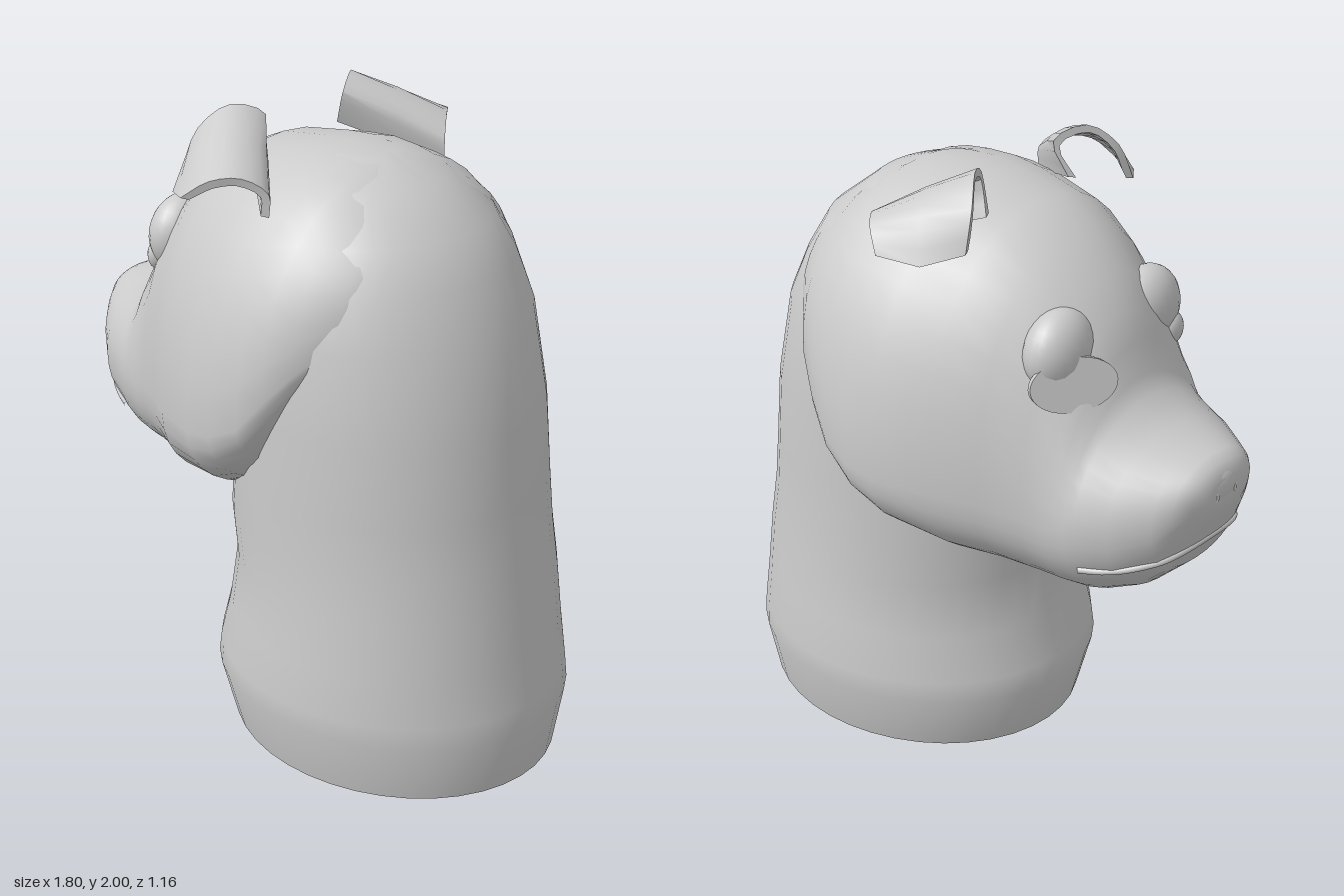
import * as THREE from 'three';
import { toCreasedNormals } from 'three/addons/utils/BufferGeometryUtils.js';

const grey = new THREE.MeshStandardMaterial({ color: 0xcccccc });

// Skin closed rings of points into a solid with flat end caps
function loft(rings, crease = 1) {
  const n = rings[0].length, last = (rings.length - 1) * n, idx = [];
  for (let i = 0; i < rings.length - 1; i++) {
    for (let j = 0; j < n; j++) {
      const a = i * n + j, b = i * n + (j + 1) % n;
      idx.push(a, a + n, b, b, a + n, b + n);
    }
  }
  for (let j = 0; j < n / 2 - 1; j++) {
    const a = j, b = j + 1, c = n - 2 - j, d = n - 1 - j;
    idx.push(a, b, c, a, c, d);
    idx.push(last + a, last + c, last + b, last + a, last + d, last + c);
  }
  const geo = new THREE.BufferGeometry().setFromPoints(rings.flat());
  geo.setIndex(idx);
  return toCreasedNormals(geo, crease);
}

// Rounded unit outline; a higher power gives a squarer first or second half
const power = (v, p) => Math.sign(v) * Math.abs(v) ** (2 / p);
function outline(segments, first, second, place) {
  return Array.from({ length: segments }, (_, i) => {
    const t = (i / segments) * Math.PI * 2;
    const p = i < segments / 2 ? first : second;
    return place(power(Math.cos(t), p), power(Math.sin(t), p));
  });
}

// Head stations: x, chin y, widest y, top y, half width, squareness of the upper half
const HEAD = [
  [-0.895, 1.10, 1.14, 1.18, 0.07, 2.2], [-0.875, 1.04, 1.14, 1.225, 0.14, 2.2],
  [-0.84, 0.96, 1.10, 1.24, 0.19, 2.2], [-0.80, 0.87, 1.06, 1.25, 0.235, 2.2],
  [-0.70, 0.775, 1.04, 1.285, 0.31, 2.1], [-0.60, 0.725, 1.03, 1.345, 0.345, 1.95],
  [-0.57, 0.718, 1.02, 1.40, 0.352, 1.85], [-0.54, 0.715, 1.02, 1.50, 0.358, 1.82],
  [-0.50, 0.715, 1.01, 1.59, 0.365, 1.85], [-0.43, 0.72, 1.03, 1.68, 0.39, 2.1],
  [-0.31, 0.735, 1.05, 1.79, 0.445, 2.2], [-0.18, 0.745, 1.07, 1.85, 0.52, 2.2],
  [0.0, 0.79, 1.08, 1.88, 0.573, 2.2], [0.10, 0.85, 1.10, 1.89, 0.578, 2.2],
  [0.20, 0.95, 1.15, 1.885, 0.56, 2.2], [0.28, 1.08, 1.25, 1.872, 0.53, 2.2],
  [0.36, 1.23, 1.35, 1.83, 0.48, 2.2], [0.45, 1.36, 1.45, 1.76, 0.39, 2.2],
  [0.53, 1.46, 1.53, 1.69, 0.27, 2.2],
];

// Neck levels: y, front x, back x, half width
const NECK = [
  [0.005, -0.23, 0.87, 0.475], [0.2, -0.28, 0.897, 0.522], [0.27, -0.265, 0.885, 0.522],
  [0.42, -0.22, 0.862, 0.505], [0.6, -0.19, 0.84, 0.488], [0.75, -0.215, 0.815, 0.483],
  [0.9, -0.2, 0.795, 0.48], [1.15, -0.2, 0.765, 0.48], [1.43, -0.2, 0.70, 0.465],
  [1.58, -0.15, 0.63, 0.425], [1.70, -0.1, 0.56, 0.365], [1.82, -0.02, 0.41, 0.24],
  [1.88, 0.05, 0.26, 0.1],
];

// Half width of the head's lower surface at a given x and y
function cheek(x, y) {
  const i = Math.max(1, HEAD.findIndex((s) => s[0] >= x));
  const a = HEAD[i - 1], b = HEAD[i], t = (x - a[0]) / (b[0] - a[0]);
  const [, low, mid, , w] = a.map((v, k) => v + (b[k] - v) * t);
  const d = Math.min(1, (mid - y) / (mid - low));
  return w * (1 - d ** 2.2) ** (1 / 2.2);
}

// Folded ear: an arched sheet with a rounded tip, skinned through three arches
const EAR = [
  [[0.15, 1.75, 0.37], [0.15, 1.82, 0.37], [0.10, 1.87, 0.43], [0.04, 1.865, 0.50], [-0.03, 1.81, 0.55]],
  [[0.02, 1.80, 0.27], [0.03, 1.90, 0.265], [-0.025, 1.945, 0.335], [-0.09, 1.905, 0.42], [-0.14, 1.785, 0.485]],
  [[-0.13, 1.85, 0.18], [-0.085, 1.96, 0.16], [-0.14, 2.0, 0.25], [-0.20, 1.93, 0.33], [-0.22, 1.81, 0.38]],
];
function earGeometry(side) {
  const rings = EAR.map((pts) => {
    const outer = new THREE.CatmullRomCurve3(pts.map((p) => new THREE.Vector3(p[0], p[1], p[2] * side))).getPoints(12);
    const centre = outer[0].clone().lerp(outer[12], 0.5);
    const inner = outer.map((p) => p.clone().add(centre.clone().sub(p).setLength(0.025)));
    return [...outer, ...inner.reverse()];
  });
  return loft(side > 0 ? rings : rings.reverse(), 0.8);
}

export function createModel() {
  const group = new THREE.Group();
  const add = (name, geo, x = 0, y = 0, z = 0) => {
    const mesh = new THREE.Mesh(geo, grey);
    mesh.name = name;
    mesh.position.set(x, y, z);
    group.add(mesh);
    return mesh;
  };

  // Neck column rounding over into the back of the skull
  add('neck', loft(NECK.map(([y, x0, x1, w]) => outline(40, 2, 2, (c, s) =>
    new THREE.Vector3((x0 + x1) / 2 + c * (x1 - x0) / 2, y, s * w)))));

  // Skull, cheeks and muzzle in one skin
  add('head', loft(HEAD.map(([x, low, mid, top, w, p]) => outline(40, p, 2.2, (c, s) =>
    new THREE.Vector3(x, mid + s * (s > 0 ? top - mid : mid - low), c * w)))));

  // Ears and brow mounds
  for (const side of [1, -1]) {
    const name = side > 0 ? 'left' : 'right';
    add(name + 'Ear', earGeometry(side));
    add(name + 'Brow', new THREE.SphereGeometry(1, 24, 16).scale(0.09, 0.13, 0.13), -0.42, 1.51, side * 0.2);
  }

  // One small bulging eye and one large flat eye disc
  add('smallEye', new THREE.SphereGeometry(1, 20, 14).scale(0.035, 0.055, 0.05), -0.48, 1.435, 0.25);
  const disc = new THREE.CylinderGeometry(1, 1, 0.02, 32).rotateX(Math.PI / 2).scale(0.135, 0.083, 1);
  const eye = add('discEye', disc, -0.503, 1.44, -0.235);
  eye.rotation.set(-0.2, Math.atan2(-0.86, -0.5), 0, 'YXZ');

  // Nose pad with nostril rims
  add('nose', new THREE.SphereGeometry(1, 24, 16).scale(0.04, 0.065, 0.1), -0.86, 1.15, 0);
  for (const side of [-1, 1]) {
    const rim = add('nostril', new THREE.TorusGeometry(0.022, 0.008, 8, 16), -0.88, 1.13, side * 0.06);
    rim.rotation.y = -Math.PI / 2 + side * 0.5;
  }

  // Lip line wrapping around the muzzle
  const half = [[-0.60, 0.89], [-0.66, 0.897], [-0.72, 0.91], [-0.77, 0.925], [-0.81, 0.94]]
    .map(([x, y]) => new THREE.Vector3(x, y, cheek(x, y)));
  const mirrored = half.map((p) => new THREE.Vector3(p.x, p.y, -p.z)).reverse();
  const lipPath = new THREE.CatmullRomCurve3([...half, new THREE.Vector3(-0.835, 0.955, 0), ...mirrored]);
  add('lip', new THREE.TubeGeometry(lipPath, 48, 0.011, 8));

  return group;
}
